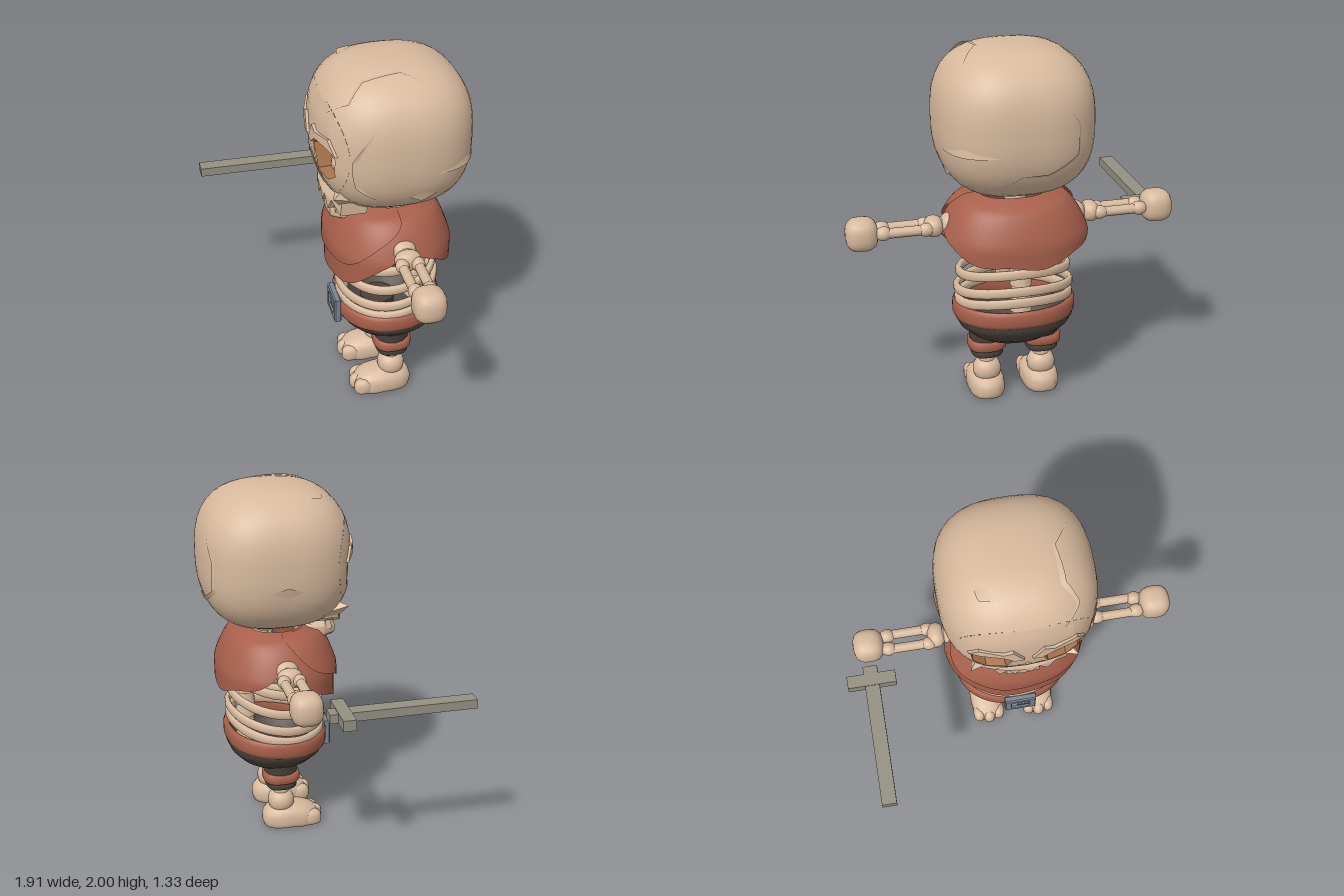
import * as THREE from 'three';
import { mergeVertices } from 'three/addons/utils/BufferGeometryUtils.js';

const mat = (name, color) => new THREE.MeshStandardMaterial({ name, color, side: THREE.DoubleSide });
const V2 = (p) => new THREE.Vector2(p[0], p[1]);

// Smooth surface from a rule: u runs around, v runs down or back
function grid(nu, nv, fn) {
  const pos = [], idx = [];
  for (let j = 0; j <= nv; j++) for (let i = 0; i <= nu; i++) pos.push(...fn(i / nu, j / nv));
  for (let j = 0; j < nv; j++) for (let i = 0; i < nu; i++) {
    const a = j * (nu + 1) + i, d = a + nu + 1;
    idx.push(a, d + 1, a + 1, a, d, d + 1);
  }
  let g = new THREE.BufferGeometry();
  g.setAttribute('position', new THREE.Float32BufferAttribute(pos, 3));
  g.setIndex(idx);
  g = mergeVertices(g, 1e-5);
  g.computeVertexNormals();
  return g;
}
function facet(g) {
  const f = g.index ? g.toNonIndexed() : g;
  f.computeVertexNormals();
  return f;
}
function bend(g, fn) {
  const p = g.attributes.position;
  for (let i = 0; i < p.count; i++) p.setXYZ(i, ...fn(p.getX(i), p.getY(i), p.getZ(i)));
  g.computeVertexNormals();
  return g;
}
// Split every triangle into four
function subdivide(g) {
  const p = g.toNonIndexed().attributes.position, pos = [];
  for (let i = 0; i < p.count; i += 3) {
    const [a, b, c] = [0, 1, 2].map((k) => new THREE.Vector3().fromBufferAttribute(p, i + k));
    const ab = a.clone().lerp(b, 0.5), bc = b.clone().lerp(c, 0.5), ca = c.clone().lerp(a, 0.5);
    for (const v of [a, ab, ca, ab, b, bc, ca, bc, c, ab, bc, ca]) pos.push(v.x, v.y, v.z);
  }
  const out = new THREE.BufferGeometry();
  out.setAttribute('position', new THREE.Float32BufferAttribute(pos, 3));
  return mergeVertices(out, 1e-5);
}
// Radius of a rounded square at angle a
const sq = (a, p) => Math.pow(Math.abs(Math.sin(a)) ** p + Math.abs(Math.cos(a)) ** p, -1 / p);

// Rounded-box blob
function blob(a, b, c, p, seg = 20) {
  return grid(seg, 14, (u, v) => {
    const t = u * Math.PI * 2, f = v * Math.PI;
    const d = [Math.sin(f) * Math.sin(t), Math.cos(f), Math.sin(f) * Math.cos(t)];
    const k = d.reduce((s, n) => s + Math.abs(n) ** p, 0) ** (-1 / p);
    return [d[0] * k * a, d[1] * k * b, d[2] * k * c];
  });
}
// Closed band, wider across than deep by the factor wide
const band = (r, y, h, t, p, wide = 1, wave = () => 0) => grid(48, 12, (u, v) => {
  const a = u * Math.PI * 2, c = v * Math.PI * 2, k = sq(c, 5);
  const q = r * sq(a, p) + Math.cos(c) * k * t;
  return [Math.sin(a) * q * wide, y + wave(a) - Math.sin(c) * k * h, Math.cos(a) * q];
});

// Skull form
const HX = 0.414, HY = 0.395, HP = 2.7, headY = 1.605;
function onHead(x, y, z) {
  const k = ((Math.abs(x) / HX) ** HP + (Math.abs(y) / HY) ** HP + (Math.abs(z) / HX) ** HP) ** (-1 / HP);
  return [x * k, y * k, z * k];
}
const faceZ = (x, y) => HX * Math.max(0, 1 - (Math.abs(x) / HX) ** HP - (Math.abs(y) / HY) ** HP) ** (1 / HP);
function skullPoint(u, v) {
  const t = u * Math.PI * 2, s = Math.sin(t);
  const f0 = 0.88 - (s > 0 ? 0.3 : 0.2) * s * s, f = f0 + (Math.PI - f0) * v;
  return onHead(Math.sin(f) * Math.cos(t), Math.sin(f) * s, Math.cos(f));
}

export function createModel() {
  const bone = mat('bone', 0xd8ba9e), socket = mat('socket', 0xa5714a);
  const red = mat('redCloth', 0xa8604c), pants = mat('darkTrousers', 0x4a423a);
  const steel = mat('buckleMetal', 0x7a8690), blade = mat('swordMetal', 0x949182);

  const model = new THREE.Group();
  const body = new THREE.Group();
  body.name = 'skeleton';
  body.position.x = 0.29;
  body.rotation.y = -Math.PI / 4;
  model.add(body);
  const add = (name, g, m, x = 0, y = 0, z = 0, parent = body) => {
    const o = new THREE.Mesh(g, m);
    o.name = name;
    o.position.set(x, y, z);
    parent.add(o);
    return o;
  };

  // Head
  const head = new THREE.Group();
  head.name = 'head';
  head.position.y = headY;
  body.add(head);
  add('skull', grid(48, 22, skullPoint), bone, 0, 0, 0, head);

  // Face with eye and nose openings
  const eye = [[0.07, -0.02], [0.13, 0.03], [0.23, 0.035], [0.285, -0.02], [0.275, -0.12], [0.21, -0.165], [0.11, -0.15]];
  const nose = [[0, -0.1], [0.055, -0.23], [0, -0.205], [-0.055, -0.23]];
  const holes = [eye, eye.map(([x, y]) => [-x, y]), nose];
  const ring = Array.from({ length: 48 }, (_, i) => V2(skullPoint(i / 48, 0)));
  const faceShape = new THREE.Shape(ring);
  holes.forEach((h) => faceShape.holes.push(new THREE.Path(h.map(V2))));
  const faceG = subdivide(subdivide(new THREE.ShapeGeometry(faceShape)));
  add('face', bend(faceG, (x, y) => [x, y, faceZ(x, y)]), bone, 0, 0, 0, head);
  holes.forEach((h, n) => {
    const depth = n < 2 ? 0.15 : 0.06;
    const cx = h.reduce((s, p) => s + p[0], 0) / h.length, cy = h.reduce((s, p) => s + p[1], 0) / h.length;
    const inner = h.map(([x, y]) => [cx + (x - cx) * 0.85, cy + (y - cy) * 0.85]);
    const wall = grid(h.length, 1, (u, v) => {
      const i = Math.round(u * h.length) % h.length, q = v ? inner[i] : h[i];
      return [q[0], q[1], faceZ(...h[i]) - v * depth];
    });
    const name = n < 2 ? 'eyeSocket' : 'noseHole', m = n < 2 ? socket : bone;
    add(name + 'Wall', facet(wall), m, 0, 0, 0, head);
    const floor = new THREE.ShapeGeometry(new THREE.Shape(inner.map(V2)));
    add(name + 'Back', bend(floor, (x, y) => [x, y, faceZ(x, y) - depth]), m, 0, 0, 0, head);
  });
  // Brows, eyes and cheekbones
  for (const s of [1, -1]) {
    add('eyeball', new THREE.SphereGeometry(0.057, 16, 12), bone, s * 0.205, -0.08, 0.295, head);
    const brow = [[0.02, -0.01], [0.08, 0.09], [0.13, 0.07], [0.25, 0.085], [0.3, 0.005], [0.24, 0.035], [0.13, 0.035], [0.07, -0.015]];
    const bg = new THREE.ExtrudeGeometry(new THREE.Shape(brow.map(([x, y]) => V2([x * s, y]))), { depth: 0.03, bevelEnabled: false });
    add('brow', facet(bend(bg, (x, y, z) => [x, y, faceZ(x, y) + z - 0.014])), bone, 0, 0, 0, head);
    const cheek = add('cheekbone', facet(new THREE.ConeGeometry(0.08, 0.13, 4)), bone, s * 0.245, -0.26, 0.315, head);
    cheek.rotation.set(1.25, 0, -s * 0.75);
  }
  // Jagged upper jaw, hanging straight down from the face
  const jaw = [[-0.25, -0.26], [-0.23, -0.33], [-0.17, -0.31], [-0.13, -0.38], [-0.09, -0.33], [-0.05, -0.39], [-0.01, -0.34],
    [0.04, -0.39], [0.08, -0.33], [0.13, -0.39], [0.17, -0.32], [0.24, -0.38], [0.25, -0.26], [0.1, -0.24], [0, -0.23], [-0.1, -0.24]];
  const jawG = new THREE.ExtrudeGeometry(new THREE.Shape(jaw.map(V2)), { depth: 0.14, bevelEnabled: false });
  add('upperJaw', facet(bend(jawG, (x, y, z) => [x, y, faceZ(x, Math.max(y, -0.26)) + z - 0.135])), bone, 0, 0, 0, head);
  // Lower jaw and teeth
  add('lowerJaw', facet(blob(0.13, 0.05, 0.11, 4, 10)), bone, 0, -0.44, 0.23, head);
  for (let i = -2; i <= 2; i++) {
    const tooth = add('lowerTooth', facet(new THREE.CylinderGeometry(0.014, 0.028, 0.09, 4)), bone, i * 0.05, -0.39, 0.32 - Math.abs(i) * 0.015, head);
    tooth.rotation.y = Math.PI / 4;
  }

  // Stepped cracks and chips on the skull, given as directions from its middle
  const cracks = [
    [0.026, [-0.12, 0.17, 0.34], [-0.01, 0.26, 0.36], [0, 0.33, 0.26], [0.13, 0.38, 0.13], [0.3, 0.33, 0.1]],
    [0.024, [0.13, 0.14, -0.33], [0.07, 0.04, -0.4], [0.07, -0.1, -0.38], [0.17, -0.17, -0.28], [0.25, -0.17, -0.2], [0.33, -0.27, -0.1]],
    [0.04, [0.33, -0.08, 0.15], [0.46, -0.08, 0], [0.33, -0.08, -0.15]],
    [0.028, [0.14, 0.16, 0.33], [0.06, 0, 0.4], [0.07, -0.13, 0.39], [0.13, -0.2, 0.32]],
    [0.06, [0.24, -0.2, 0.22], [0.28, -0.2, 0.18], [0.33, -0.2, 0.13]],
    [0.06, [-0.35, -0.1, -0.23], [-0.29, -0.1, -0.29], [-0.23, -0.1, -0.35]],
    [0.065, [-0.26, 0.33, -0.06], [-0.26, 0.33, 0], [-0.26, 0.33, 0.06]],
  ];
  for (const [w, ...pts] of cracks) {
    const local = pts.map(([x, y, z]) => new THREE.Vector3((x + z) * 0.707, y, (z - x) * 0.707));
    const n = (local.length - 1) * 6;
    const at = (k) => {
      const i = Math.min(local.length - 2, Math.floor(k / 6));
      return local[i].clone().lerp(local[i + 1], k / 6 - i);
    };
    const strip = grid(n, 1, (u, v) => {
      const k = Math.round(u * n), p = at(k), dir = at(Math.min(n, k + 1)).sub(at(Math.max(0, k - 1)));
      const taper = Math.min(1, Math.min(u, 1 - u) * 2.2);
      const side = dir.cross(p).normalize().multiplyScalar((v - 0.5) * w * taper);
      const q = onHead(...new THREE.Vector3(...onHead(p.x, p.y, p.z)).add(side).toArray());
      return q.map((c) => c * (1.003 + v * 0.022 * taper));
    });
    add('skullCrack', strip, bone, 0, 0, 0, head);
  }

  // Cape: low at the front and back, raised and spread over the arms
  const cape = (lift, out, span) => grid(56, 10, (u, v) => {
    const a = (u - 0.5) * span, c = Math.cos(a);
    const low = 1.055 - (c > 0 ? 0.29 : 0.19) * (c * c) ** 0.45 + 0.012 * Math.sin(a * 7) + lift;
    const y = 1.2 + (low - 1.2) * v, k = Math.min(1, Math.max(0, 1.2 - y) / 0.22);
    const r = (0.15 + 0.18 * k ** 0.38 + out) * sq(a, 2.3);
    return [Math.sin(a) * r * 1.22, y, c * r];
  });
  add('cape', cape(0, 0, Math.PI * 2), red);
  add('capeFold', cape(0.13, 0.014, Math.PI), red);

  // Spine, ribs and breastbone
  for (let i = 0; i < 10; i++) add('vertebra', new THREE.CylinderGeometry(0.05, 0.06, 0.07, 10), bone, 0, 0.53 + i * 0.075, -0.17 + Math.max(0, i - 5) * 0.03);
  for (const [y, r] of [[0.98, 0.22], [0.885, 0.238], [0.775, 0.255], [0.68, 0.266], [0.615, 0.264]])
    add('rib', band(r, y, 0.025, 0.015, 2.05, 1.16, (a) => -0.035 * Math.cos(a) - 0.025 * Math.sin(a) ** 2), bone);
  add('breastbone', blob(0.045, 0.1, 0.025, 3), bone, 0, 0.67, 0.24);

  // Trousers, belt and buckle
  const prof = [[0.55, 0.278], [0.49, 0.28], [0.45, 0.262], [0.4, 0.215], [0.365, 0.165], [0.345, 0.12], [0.345, 0]];
  add('trousers', grid(40, 6, (u, v) => {
    const a = u * Math.PI * 2, [y, r] = prof[Math.round(v * 6)], q = r * sq(a, 2.2);
    return [Math.sin(a) * q * 1.16, y, Math.cos(a) * q];
  }), pants);
  add('belt', band(0.273, 0.538, 0.045, 0.018, 2.2, 1.15, (a) => -0.015 * Math.cos(a)), red);
  const rect = (w, h) => [[-w, -h], [w, -h], [w, h], [-w, h]].map(V2);
  const frame = new THREE.Shape(rect(0.085, 0.066));
  frame.holes.push(new THREE.Path(rect(0.056, 0.04)));
  add('buckle', new THREE.ExtrudeGeometry(frame, { depth: 0.025, bevelThickness: 0.008, bevelSize: 0.006, bevelSegments: 1 }), steel, 0.01, 0.508, 0.28);
  add('bucklePin', new THREE.BoxGeometry(0.08, 0.02, 0.02), steel, 0.03, 0.505, 0.3);

  for (const s of [1, -1]) {
    // Leg
    const x = s * 0.155;
    add('trouserLeg', new THREE.CylinderGeometry(0.1, 0.085, 0.16, 12), pants, x, 0.33, 0);
    add('trouserHem', band(0.07, 0.27, 0.022, 0.018, 3), pants, x);
    add('trouserCuff', band(0.085, 0.318, 0.028, 0.02, 3), red, x);
    add('shin', new THREE.CylinderGeometry(0.042, 0.05, 0.16, 12), bone, x, 0.2, 0);
    add('ankle', blob(0.078, 0.07, 0.075, 2.2), bone, x, 0.15, 0);
    add('foot', bend(blob(0.1, 0.085, 0.165, 2.8), (px, py, pz) => [px, Math.max(-0.045, py - Math.max(0, pz) * 0.1), pz]), bone, x, 0.045, 0.055);
    for (const t of [-1, 0, 1])
      add('toe', bend(blob(0.036, 0.05, 0.055, 2.6, 12), (px, py, pz) => [px, Math.max(-0.04, py), pz]), bone, x + t * 0.06, 0.04, 0.185 - Math.abs(t) * 0.015);
    // Arm
    const along = (name, r1, r2, from, to, z) => {
      const o = add(name, new THREE.CylinderGeometry(r1, r2, to - from, 10), bone, s * (from + to) / 2, 1.03, z);
      o.rotation.z = -s * Math.PI / 2;
    };
    along('upperArm', 0.045, 0.04, 0.06, 0.4, 0);
    add('shoulderKnob', blob(0.06, 0.065, 0.07, 2.2), bone, s * 0.34, 1.03, 0);
    add('elbow', blob(0.05, 0.055, 0.07, 2.3), bone, s * 0.43, 1.03, 0);
    for (const z of [-0.042, 0.042]) {
      along('forearmBone', 0.027, 0.027, 0.44, 0.72, z);
      add('forearmKnob', blob(0.045, 0.036, 0.036, 2), bone, s * 0.475, 1.03, z);
      add('wristKnob', blob(0.045, 0.038, 0.038, 2), bone, s * 0.7, 1.03, z * 0.9);
    }
    add('hand', blob(0.085, 0.087, 0.085, 2.9), bone, s * 0.81, 1.025, 0);
  }

  // Sword held forward in the right hand
  add('swordBlade', new THREE.BoxGeometry(0.08, 0.05, 0.795), blade, -0.82, 0.973, 0.5075);
  add('swordGuard', new THREE.BoxGeometry(0.27, 0.06, 0.07), blade, -0.82, 0.973, 0.19);
  return model;
}
